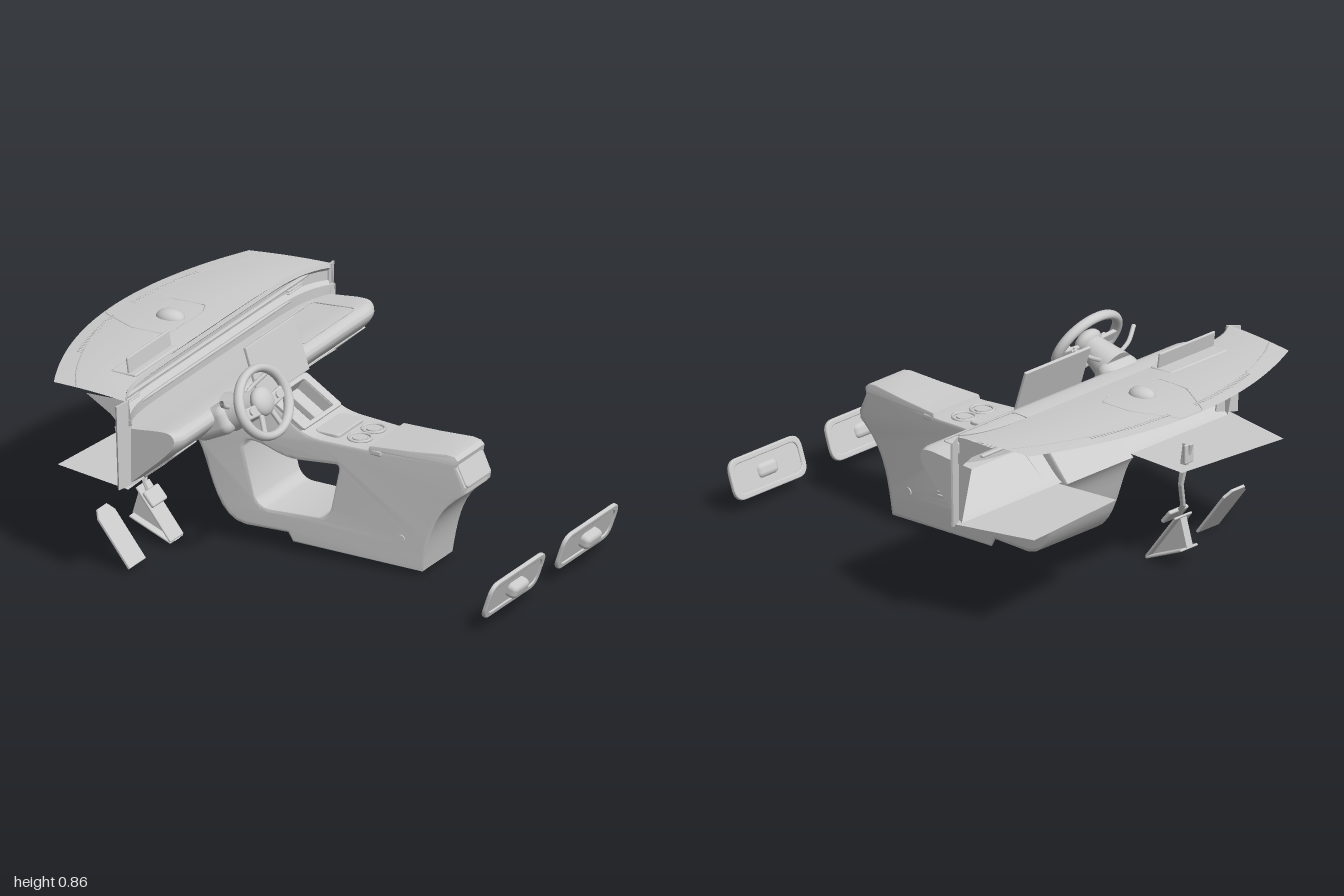
import * as THREE from 'three';
import { toCreasedNormals } from 'three/addons/utils/BufferGeometryUtils.js';
import { RoundedBoxGeometry } from 'three/addons/geometries/RoundedBoxGeometry.js';

const mat = new THREE.MeshStandardMaterial({ color: 0xcccccc, side: THREE.DoubleSide });

export function createModel() {
  const root = new THREE.Group();

  const add = (name, geo, pos = [0, 0, 0], rot = [0, 0, 0], parent = root) => {
    const m = new THREE.Mesh(geo, mat);
    m.name = name;
    m.position.set(...pos);
    m.rotation.set(...rot);
    parent.add(m);
    return m;
  };
  const box = (name, size, pos, rot, parent, r = 0.008) =>
    add(name, new RoundedBoxGeometry(...size, 2, Math.min(r, Math.min(...size) * 0.45)), pos, rot, parent);
  const shape = (pts) => new THREE.Shape(pts.map((p) => new THREE.Vector2(...p)));
  // Extrusion of an x-y outline, centred on z
  const slab = (s, depth, bevel = 0) => new THREE.ExtrudeGeometry(s, {
    depth: depth - 2 * bevel, bevelEnabled: bevel > 0, bevelSize: bevel, bevelOffset: -bevel,
    bevelThickness: bevel, bevelSegments: 3, curveSegments: 10,
  }).translate(0, 0, bevel - depth / 2);
  const roundRect = (w, h, r, T = THREE.Shape) => {
    const s = new T(), x = w / 2, y = h / 2;
    s.moveTo(-x + r, -y);
    s.lineTo(x - r, -y).quadraticCurveTo(x, -y, x, -y + r);
    s.lineTo(x, y - r).quadraticCurveTo(x, y, x - r, y);
    s.lineTo(-x + r, y).quadraticCurveTo(-x, y, -x, y - r);
    s.lineTo(-x, -y + r).quadraticCurveTo(-x, -y, -x + r, -y);
    return s;
  };
  const frame = (w, h, r, t, depth, tSide = t) => {
    const s = roundRect(w, h, r);
    s.holes.push(roundRect(w - 2 * t, h - 2 * tSide, r * 0.7, THREE.Path));
    return slab(s, depth, depth * 0.3);
  };
  // Open surface through f(u, v)
  const surface = (f, nu, nv) => {
    const pos = [], idx = [];
    for (let i = 0; i <= nu; i++) for (let j = 0; j <= nv; j++) pos.push(...f(i / nu, j / nv));
    for (let i = 0; i < nu; i++) for (let j = 0; j < nv; j++) {
      const a = i * (nv + 1) + j, b = a + nv + 1;
      idx.push(a, a + 1, b, b, a + 1, b + 1);
    }
    const g = new THREE.BufferGeometry();
    g.setAttribute('position', new THREE.Float32BufferAttribute(pos, 3));
    g.setIndex(idx);
    return toCreasedNormals(g, 0.6);
  };

  // Dashboard top: curved windscreen edge, rear edge sweeping back at the ends
  const rearX = (s) => -0.556 + 0.08 * s ** 8;
  const frontX = (s) => -1 + 0.18 * s * s;
  const topPoint = (u, s) => [
    THREE.MathUtils.lerp(frontX(s), rearX(s), u),
    0.785 + 0.017 * Math.sin(u * Math.PI * 0.8) * (1 - 0.6 * s * s),
    s * (0.75 + 0.04 * u),
  ];
  add('dashTop', surface((u, v) => topPoint(u, 1 - 2 * v), 12, 40));

  // Upper dash face dropping to the shelf
  const face = [[0, 0.793], [0.006, 0.775], [-0.01, 0.76], [-0.01, 0.72], [0.02, 0.71], [0.02, 0.66]];
  add('dashFace', surface((u, v) => {
    const s = 1 - 2 * v, p = face[Math.round(u * 5)];
    return [rearX(s) + p[0], p[1], s * 0.785];
  }, 5, 40));

  // Shelf and lower dash
  const lower = [[-0.54, 0.665], [-0.42, 0.675], [-0.31, 0.685], [-0.27, 0.68], [-0.252, 0.66],
    [-0.255, 0.635], [-0.29, 0.59], [-0.38, 0.51], [-0.46, 0.445], [-0.49, 0.43]];
  const curve = new THREE.CatmullRomCurve3(lower.map((p) => new THREE.Vector3(...p, 0)));
  const lowPt = (u, s) => {
    const p = curve.getPoint(u), e = Math.max(0, Math.abs(s) - 0.92) / 0.08;
    return [p.x - 0.025 * e * e * u * (1 - u) * 4, p.y, s * 0.768];
  };
  add('lowerDash', surface((u, v) => lowPt(u, 1 - 2 * v), 36, 60));
  for (const s of [-1, 1]) {
    const pts = Array.from({ length: 37 }, (_, i) => lowPt(i / 36, s).slice(0, 2));
    add('dashEndCap', new THREE.ShapeGeometry(shape(pts)), [0, 0, s * 0.768]);
    // End skirt, angled door-side plate and footwell sheet
    add('dashEndSkirt', new THREE.ShapeGeometry(shape(
      [[-0.66, 0.785], [-0.47, 0.79], [-0.455, 0.69], [-0.5, 0.67], [-0.55, 0.72]])), [0, 0, s * 0.78]);
    add('dashEndPlate', slab(shape([[0.775, 0.44], [0.872, 0.43], [0.886, 0.78], [0.827, 0.79]]
      .map(([z, y]) => [-s * z, y])), 0.008), [-0.2, 0, 0], [0, Math.PI / 2 - s * 0.34, 0]);
    add('footwellSheet', new THREE.ShapeGeometry(shape(
      [[-0.46, s * 0.8], [-0.82, s * 0.72], [-0.77, s * 0.19], [-0.48, s * 0.21]])), [0, 0.43, 0], [Math.PI / 2, 0, 0]);
    // Side air vents
    for (let i = 0; i < 4; i++) box('sideVentSlat', [0.012, 0.006, 0.14], [-0.545, 0.725 + i * 0.011, s * 0.64]);
  }
  for (const y of [0.7, 0.76]) box('dashTrim', [0.018, 0.012, 1.42], [-0.538, y, 0]);

  // Glove box and driver-side panels, laid on the sloping lower face
  const slope = (w, h, z) => add('lowerPanel', frame(h, w, 0.025, 0.006, 0.008).rotateX(Math.PI / 2),
    [-0.372, 0.515, z], [0, 0, Math.atan2(0.15, 0.17)]);
  slope(0.5, 0.2, -0.5);
  slope(0.17, 0.2, 0.63);
  add('shelfPanel', frame(0.2, 0.41, 0.025, 0.005, 0.006), [-0.39, 0.681, -0.455], [Math.PI / 2, 0.07, 0]);

  // Seams, sensor and windscreen vents on the top
  const seam = (name, pts, closed) => add(name, new THREE.TubeGeometry(new THREE.CatmullRomCurve3(
    pts.map(([u, s]) => new THREE.Vector3(...topPoint(u, s))), closed, 'catmullrom', 0.1), 60, 0.003, 5, closed));
  seam('sensorPlateSeam', [[0.02, -0.08], [0.4, -0.21], [0.72, -0.21], [0.78, -0.14], [0.78, 0.14], [0.72, 0.21], [0.4, 0.21], [0.02, 0.08]], true);
  for (const d of [-1, 1]) seam('dashTopSeam', Array.from({ length: 12 }, (_, i) => {
    const s = 0.16 + i * 0.075;
    return [0.12 + 0.2 * s * s, s * d];
  }), false);
  add('sensor', new THREE.SphereGeometry(0.055, 24, 10, 0, Math.PI * 2, 0, Math.PI / 2).scale(1.1, 0.65, 0.8), [-0.735, 0.797, 0]);
  for (const s of [-1, 1]) for (let i = 0; i < 26; i++)
    box('windscreenVent', [0.022, 0.006, 0.006], topPoint(0.13 + i * 0.001, s * (0.1 + i * 0.02)));

  // Instrument display with its surround and bracket
  box('clusterSurround', [0.11, 0.016, 0.33], [-0.615, 0.795, 0.405]);
  box('clusterDisplay', [0.012, 0.12, 0.32], [-0.595, 0.805, 0.405], [0, 0, 0.15]);
  box('clusterBracket', [0.025, 0.16, 0.03], [-0.62, 0.67, 0.405]);
  box('clusterBracketPlate', [0.08, 0.015, 0.1], [-0.61, 0.73, 0.405]);

  // Central touch screen
  box('centreScreen', [0.014, 0.222, 0.375], [-0.265, 0.725, 0], [0, 0, 0.31], root, 0.004);

  // Centre console: pierced side outline, narrowing towards the rear and the top
  const body = new THREE.Shape();
  body.moveTo(-0.52, 0.43);
  body.bezierCurveTo(-0.45, 0.36, -0.45, 0.1, -0.3, 0.09);
  body.lineTo(-0.12, 0.09);
  body.lineTo(-0.1, 0.055);
  body.lineTo(0.45, 0.03);
  body.bezierCurveTo(0.48, 0.2, 0.5, 0.29, 0.625, 0.38);
  body.lineTo(0.63, 0.41);
  body.lineTo(0.585, 0.505);
  body.lineTo(0.2, 0.495);
  body.lineTo(0.02, 0.5);
  body.bezierCurveTo(-0.1, 0.51, -0.13, 0.57, -0.21, 0.615);
  body.lineTo(-0.3, 0.64);
  body.lineTo(-0.42, 0.53);
  const hole = new THREE.Path();
  hole.moveTo(-0.27, 0.445);
  hole.bezierCurveTo(-0.2, 0.44, -0.17, 0.4, -0.08, 0.4);
  hole.lineTo(0.08, 0.41);
  hole.quadraticCurveTo(0.1, 0.41, 0.095, 0.38);
  hole.lineTo(0.065, 0.23);
  hole.quadraticCurveTo(0.05, 0.175, 0, 0.175);
  hole.lineTo(-0.2, 0.17);
  hole.quadraticCurveTo(-0.25, 0.175, -0.265, 0.22);
  hole.lineTo(-0.31, 0.4);
  hole.quadraticCurveTo(-0.315, 0.445, -0.27, 0.445);
  body.holes.push(hole);
  const halfWidth = (x, y = 0) => 0.152 - 0.077 * x - 0.13 * Math.max(0, y - 0.5);
  // Left open between the walls: the underside and the tray opening on top
  const isOpen = (q) => (q.y < 0.1 && q.x < 0.4502) || (q.y > 0.51 && q.x > -0.212 && q.x < -0.05);
  const taper = (g) => {
    const p = g.attributes.position, kept = [];
    for (let i = 0; i < p.count; i += 3) {
      const v = [0, 1, 2].map((k) => new THREE.Vector3().fromBufferAttribute(p, i + k));
      const z = v.map((q) => q.z);
      if (v.every(isOpen) && Math.min(...z) < 0 && Math.max(...z) > 0) continue;
      for (const q of v) kept.push(q.x, q.y, q.z * halfWidth(q.x, q.y));
    }
    const out = new THREE.BufferGeometry();
    out.setAttribute('position', new THREE.Float32BufferAttribute(kept, 3));
    return toCreasedNormals(out, 0.6);
  };
  add('console', taper(slab(body, 2, 0.015)));
  // Padded armrest lid
  add('armrest', taper(slab(shape([[0.22, 0.495], [0.225, 0.512], [0.4, 0.522], [0.55, 0.535], [0.585, 0.53], [0.6, 0.515], [0.595, 0.49]]), 2, 0.008)));
  box('armrestLatch', [0.055, 0.025, 0.27], [0.25, 0.488, 0]);

  // Console top: cup holders, trays and vents
  for (const z of [-0.055, 0.05]) {
    add('cupHolderRim', new THREE.TorusGeometry(0.045, 0.006, 8, 32), [0.135, 0.499, z], [Math.PI / 2, 0, 0]);
    add('cupHolderBase', new THREE.CylinderGeometry(0.03, 0.03, 0.006, 24), [0.135, 0.499, z]);
  }
  add('smallTray', frame(0.11, 0.2, 0.02, 0.009, 0.02), [0.015, 0.503, 0], [Math.PI / 2, 0, 0]);
  const tray = new THREE.Group();
  tray.name = 'phoneTray';
  tray.position.set(-0.138, 0.574, 0);
  tray.rotation.z = -0.56;
  root.add(tray);
  add('trayRim', frame(0.19, 0.29, 0.015, 0.018, 0.012, 0.042), [0, 0, 0], [Math.PI / 2, 0, 0], tray);
  box('trayFloor', [0.16, 0.008, 0.212], [0, -0.055, 0], undefined, tray);
  box('trayDivider', [0.155, 0.03, 0.01], [0, -0.035, 0], undefined, tray);
  for (const s of [-1, 1]) {
    box('traySide', [0.16, 0.055, 0.006], [0, -0.028, s * 0.105], undefined, tray);
    box('trayEnd', [0.006, 0.055, 0.212], [s * 0.08, -0.028, 0], undefined, tray);
  }
  for (let i = 0; i < 3; i++) box('centreVentSlat', [0.015, 0.008, 0.22], [-0.245 + i * 0.008, 0.632 - i * 0.01, 0]);

  // Rear of console: vent and switch panel
  const rear = new THREE.Group();
  rear.name = 'rearVentPanel';
  rear.position.set(0.607, 0.452, 0);
  rear.rotation.z = 0.45;
  root.add(rear);
  add('rearVentFrame', frame(0.185, 0.105, 0.02, 0.012, 0.02), [0, 0, 0], [0, Math.PI / 2, 0], rear);
  for (const y of [-0.025, 0, 0.025]) box('rearVentSlat', [0.02, 0.008, 0.16], [0, y, 0], undefined, rear);
  box('rearLip', [0.03, 0.03, 0.17], [0.613, 0.39, 0]);

  // Side button covers and speaker grille
  const skew = Math.atan(0.077);
  for (const s of [-1, 1])
    add('sideCover', new THREE.CylinderGeometry(0.018, 0.018, 0.01, 24), [0.36, 0.15, s * halfWidth(0.36)], [Math.PI / 2, 0, -s * skew]);
  for (let i = 0; i < 7; i++)
    box('speakerSlat', [0.075, 0.007, 0.008], [0.16, 0.185 + i * 0.014, -halfWidth(0.16)], [0, -skew, 0]);

  // Steering wheel, local +z towards the driver
  const wheel = new THREE.Group();
  wheel.name = 'steeringWheel';
  const n = new THREE.Vector3(0.9, 0.436, 0).normalize();
  const up = new THREE.Vector3(-n.y, n.x, 0);
  wheel.setRotationFromMatrix(new THREE.Matrix4().makeBasis(new THREE.Vector3(0, 0, -1), up, n));
  wheel.position.set(-0.087, 0.73, 0.405);
  root.add(wheel);
  add('wheelRim', new THREE.TorusGeometry(0.165, 0.021, 14, 56).scale(1, 0.8, 1), undefined, undefined, wheel);
  add('wheelHub', new THREE.SphereGeometry(0.062, 24, 16).scale(1, 0.95, 0.6), [0, 0.005, -0.005], undefined, wheel);
  for (const s of [-1, 1]) {
    box('sideSpoke', [0.12, 0.048, 0.018], [s * 0.1, -0.01, -0.008], [0, 0, s * 0.1], wheel);
    box('lowerSpoke', [0.024, 0.11, 0.016], [s * 0.05, -0.08, -0.008], [0, 0, s * 0.35], wheel);
    add('wheelButton', new THREE.CylinderGeometry(0.014, 0.014, 0.008, 16), [s * 0.1, -0.005, 0.004], [Math.PI / 2, 0, 0], wheel);
    // Column stalks
    add('stalk', new THREE.TubeGeometry(new THREE.CatmullRomCurve3([
      new THREE.Vector3(s * 0.06, 0.03, -0.12), new THREE.Vector3(s * 0.11, 0.05, -0.105),
      new THREE.Vector3(s * 0.175, 0.075, -0.06)]), 10, 0.009, 8), undefined, undefined, wheel);
  }
  add('columnNeck', new THREE.CylinderGeometry(0.05, 0.078, 0.14, 28), [0, 0, -0.09], [Math.PI / 2, 0, 0], wheel);
  box('columnShroud', [0.19, 0.12, 0.18], [0, -0.012, -0.22], undefined, wheel, 0.04);

  // Pedals and footrest
  const arm = slab(shape([[-0.755, 0.52], [-0.71, 0.52], [-0.695, 0.42], [-0.685, 0.34], [-0.665, 0.24], [-0.62, 0.185],
    [-0.65, 0.19], [-0.685, 0.24], [-0.705, 0.34], [-0.725, 0.42]]), 0.016, 0.004);
  const ap = arm.attributes.position;
  for (let i = 0; i < ap.count; i++) ap.setZ(i, ap.getZ(i) + 0.35 * Math.max(0, 0.34 - ap.getY(i)));
  arm.computeVertexNormals();
  add('brakeArm', arm, [0, 0, 0.267]);
  box('brakePad', [0.018, 0.07, 0.11], [-0.625, 0.19, 0.31], [0, 0, 0.7]);
  box('brakeMountPlate', [0.012, 0.08, 0.05], [-0.735, 0.48, 0.267]);
  add('acceleratorBase', slab(shape([[-0.7, 0.21], [-0.545, 0.012], [-0.735, 0.09]]), 0.035), [0, 0, 0.275]);
  box('acceleratorPad', [0.25, 0.01, 0.1], [-0.625, 0.115, 0.275], [0, 0, -0.91]);
  box('acceleratorFoot', [0.2, 0.01, 0.1], [-0.64, 0.05, 0.275], [0, 0, -0.39]);
  const rest = shape([[-0.062, -0.13], [0.062, -0.13], [0.062, 0.095], [0.035, 0.13], [-0.035, 0.13], [-0.062, 0.095]]);
  add('footrest', slab(rest, 0.012, 0.003).rotateY(Math.PI / 2), [-0.62, 0.13, 0.593], [0, 0, 0.66]);

  // Door release handles
  for (const z of [-0.28, 0.28]) {
    const h = new THREE.Group();
    h.name = 'doorHandle';
    h.position.set(0.95, 0.14, z);
    h.rotation.z = -0.33;
    root.add(h);
    add('handleFrame', frame(0.415, 0.165, 0.055, 0.024, 0.018), undefined, [0, Math.PI / 2, 0], h);
    add('handleDish', slab(roundRect(0.38, 0.13, 0.04), 0.005), undefined, [0, Math.PI / 2, 0], h);
    box('handleGrip', [0.06, 0.06, 0.115], [0.014, 0, 0], undefined, h, 0.022);
  }

  return root;
}
